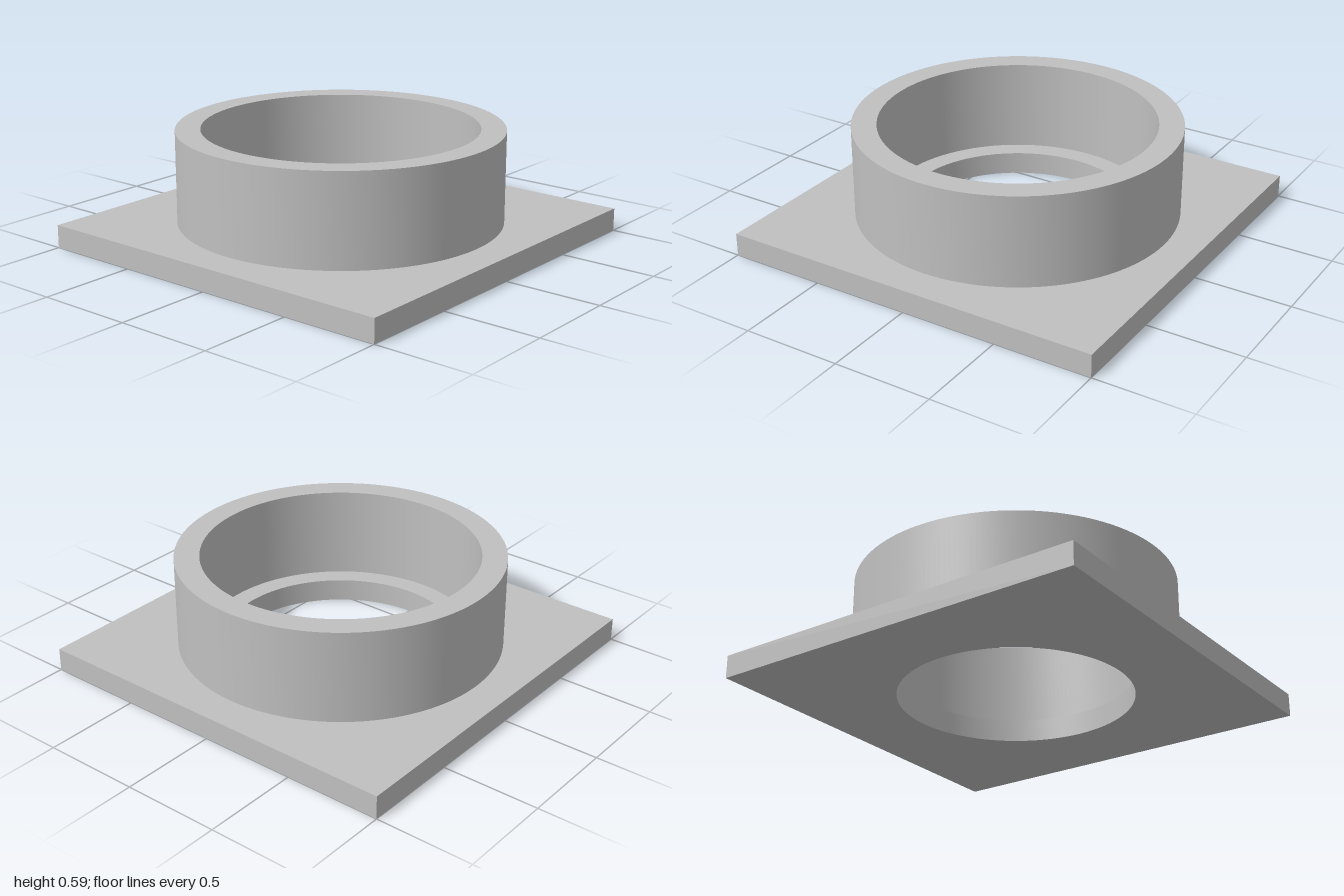
import * as THREE from 'three';
import { toCreasedNormals } from 'three/addons/utils/BufferGeometryUtils.js';

const SEGMENTS = 48;

// Extrude an outline with a round hole upwards along y, smooth on the curved walls
function raise(shape, holeRadius, height) {
  shape.holes.push(new THREE.Path().absarc(0, 0, holeRadius, 0, Math.PI * 2, true));
  const geometry = new THREE.ExtrudeGeometry(shape, {
    depth: height, bevelEnabled: false, curveSegments: SEGMENTS * 2,
  });
  geometry.rotateX(-Math.PI / 2);
  return toCreasedNormals(geometry, Math.PI / 6);
}

export function createModel() {
  const group = new THREE.Group();
  group.name = 'flangedCollar';
  const grey = new THREE.MeshStandardMaterial({ color: 0xc0c0c0 });
  grey.name = 'grey';

  const plateHeight = 0.118, totalHeight = 0.59;

  // Square base plate with the narrower through hole
  const square = new THREE.Shape([
    new THREE.Vector2(-1, -1), new THREE.Vector2(1, -1),
    new THREE.Vector2(1, 1), new THREE.Vector2(-1, 1),
  ]);
  const plate = new THREE.Mesh(raise(square, 0.59, plateHeight), grey);
  plate.name = 'basePlate';
  group.add(plate);

  // Round collar, its wider bore leaving a ledge on the plate
  const disc = new THREE.Shape().absarc(0, 0, 0.822, 0, Math.PI * 2, false);
  const collar = new THREE.Mesh(raise(disc, 0.696, totalHeight - plateHeight), grey);
  collar.name = 'collar';
  collar.position.y = plateHeight;
  group.add(collar);

  return group;
}
